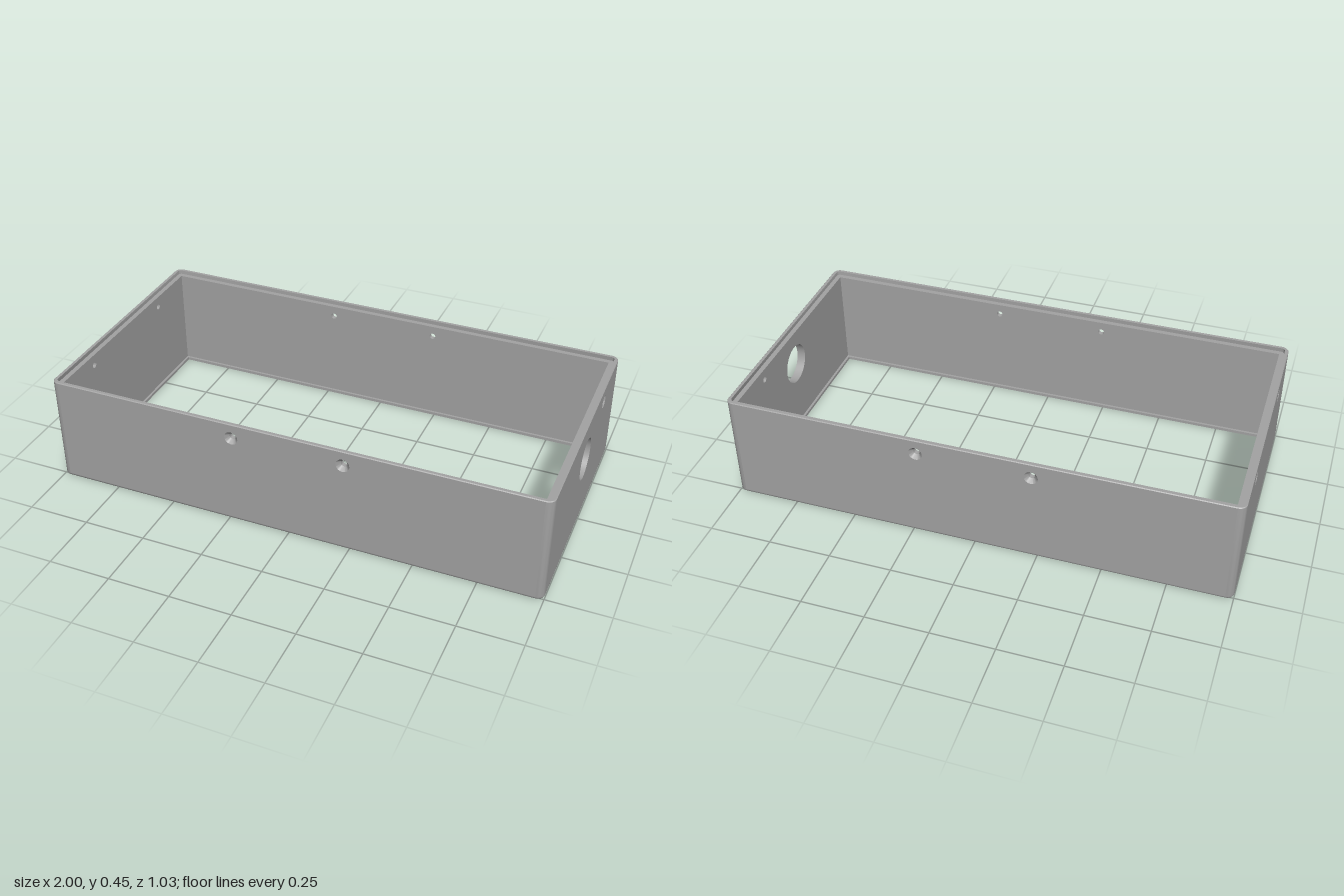
import * as THREE from 'three';
import { toCreasedNormals } from 'three/addons/utils/BufferGeometryUtils.js';

const HX = 1, HZ = 0.514, TOP = 0.446;  // half sizes and height
const WALL = 0.035, CORNER = 0.03;      // wall thickness, outer corner radius
const LOW = 0.014, HIGH = 0.443, LEDGE = 0.43, FLOOR = 0.012;

// Rounded rectangle at a given inset from the outside
function ring(inset, y, steps = 8) {
  const r = Math.max(CORNER - inset, 0);
  const cx = HX - inset - r, cz = HZ - inset - r;
  const pts = [];
  [[1, 1], [-1, 1], [-1, -1], [1, -1]].forEach(([sx, sz], q) => {
    for (let i = 0; i <= steps; i++) {
      const a = (q + i / steps) * Math.PI / 2;
      pts.push(new THREE.Vector3(sx * cx + r * Math.cos(a), y, sz * cz + r * Math.sin(a)));
    }
  });
  return pts;
}

// Rim, bottom edge and rounded corners: a profile swept round the frame
function frameGeometry() {
  const profile = [];
  for (let i = 0; i <= 5; i++) {
    const a = i / 5 * Math.PI / 2;
    profile.push([LOW * (1 - Math.sin(a)), LOW * (1 - Math.cos(a))]);
  }
  profile.push([0, HIGH], [0.003, TOP], [0.015, TOP], [0.015, LEDGE],
    [WALL, LEDGE], [WALL, FLOOR], [0.045, FLOOR], [0.045, 0]);
  const pos = [];
  profile.forEach(([d0, y0], k) => {
    const [d1, y1] = profile[(k + 1) % profile.length];
    const isWall = d0 === d1 && Math.abs(y1 - y0) > 0.2;
    const lo = ring(d0, y0), hi = ring(d1, y1), n = lo.length;
    for (let i = 0; i < n; i++) {
      const j = (i + 1) % n;
      const straight = i % 9 === 8;
      if (isWall && straight) continue; // left open for the drilled walls
      const a = lo[i], b = lo[j], c = hi[j], d = hi[i];
      if (a.distanceTo(b) + c.distanceTo(d) < 1e-6) continue;
      for (const p of [a, d, c, a, c, b]) pos.push(p.x, p.y, p.z);
    }
  });
  const g = new THREE.BufferGeometry();
  g.setAttribute('position', new THREE.Float32BufferAttribute(pos, 3));
  return toCreasedNormals(g, 0.6);
}

function skin(halfWidth, y0, y1, holes) {
  const s = new THREE.Shape();
  s.moveTo(-halfWidth, y0);
  s.lineTo(halfWidth, y0);
  s.lineTo(halfWidth, y1);
  s.lineTo(-halfWidth, y1);
  s.closePath();
  for (const [x, y, r] of holes) {
    const h = new THREE.Path();
    h.absarc(x, y, r, 0, Math.PI * 2, true);
    s.holes.push(h);
  }
  return new THREE.ShapeGeometry(s, 20);
}

// Drilled wall facing local +z; each hole is {x, y, outer, inner radius}
function wall(name, half, holes, material) {
  const group = new THREE.Group();
  group.name = name;
  const add = (geometry, part) => {
    const m = new THREE.Mesh(geometry, material);
    m.name = part;
    group.add(m);
    return m;
  };
  add(skin(half - CORNER, LOW, HIGH, holes.map(h => [h.x, h.y, h.outer])), 'outerFace');
  const inside = skin(half - WALL, FLOOR, LEDGE, holes.map(h => [-h.x, h.y, h.inner]));
  add(inside.rotateY(Math.PI).translate(0, 0, -WALL), 'innerFace');
  for (const h of holes) {
    const bore = [[h.outer, 0], [h.inner, -0.016], [h.inner, -WALL]];
    const g = new THREE.LatheGeometry(bore.map(p => new THREE.Vector2(...p)), 40);
    add(toCreasedNormals(g.rotateX(Math.PI / 2), 0.5), h.name).position.set(h.x, h.y, 0);
  }
  return group;
}

export function createModel() {
  const model = new THREE.Group();
  model.name = 'enclosureFrame';
  const grey = new THREE.MeshStandardMaterial({ color: 0xa3a3a3, side: THREE.DoubleSide });
  grey.name = 'grey';

  const frame = new THREE.Mesh(frameGeometry(), grey);
  frame.name = 'rimAndCorners';
  model.add(frame);

  const screw = x => ({ name: 'screwHole', x, y: 0.385, outer: 0.027, inner: 0.0125 });
  const port = { name: 'cablePort', x: 0, y: 0.286, outer: 0.083, inner: 0.083 };

  // Walls: name, half length, distance from centre, turn, holes
  const walls = [
    ['frontWall', HX, HZ, 0, [screw(-0.224), screw(0.224)]],
    ['backWall', HX, HZ, Math.PI, [screw(-0.224), screw(0.224)]],
    ['leftWall', HZ, HX, Math.PI / 2, [screw(0.262), port]],
    ['rightWall', HZ, HX, -Math.PI / 2, [screw(-0.262), screw(0.262)]],
  ];
  for (const [name, half, distance, turn, holes] of walls) {
    const w = wall(name, half, holes, grey);
    w.rotation.y = turn;
    w.position.set(Math.sin(turn) * distance, 0, Math.cos(turn) * distance);
    model.add(w);
  }
  return model;
}
